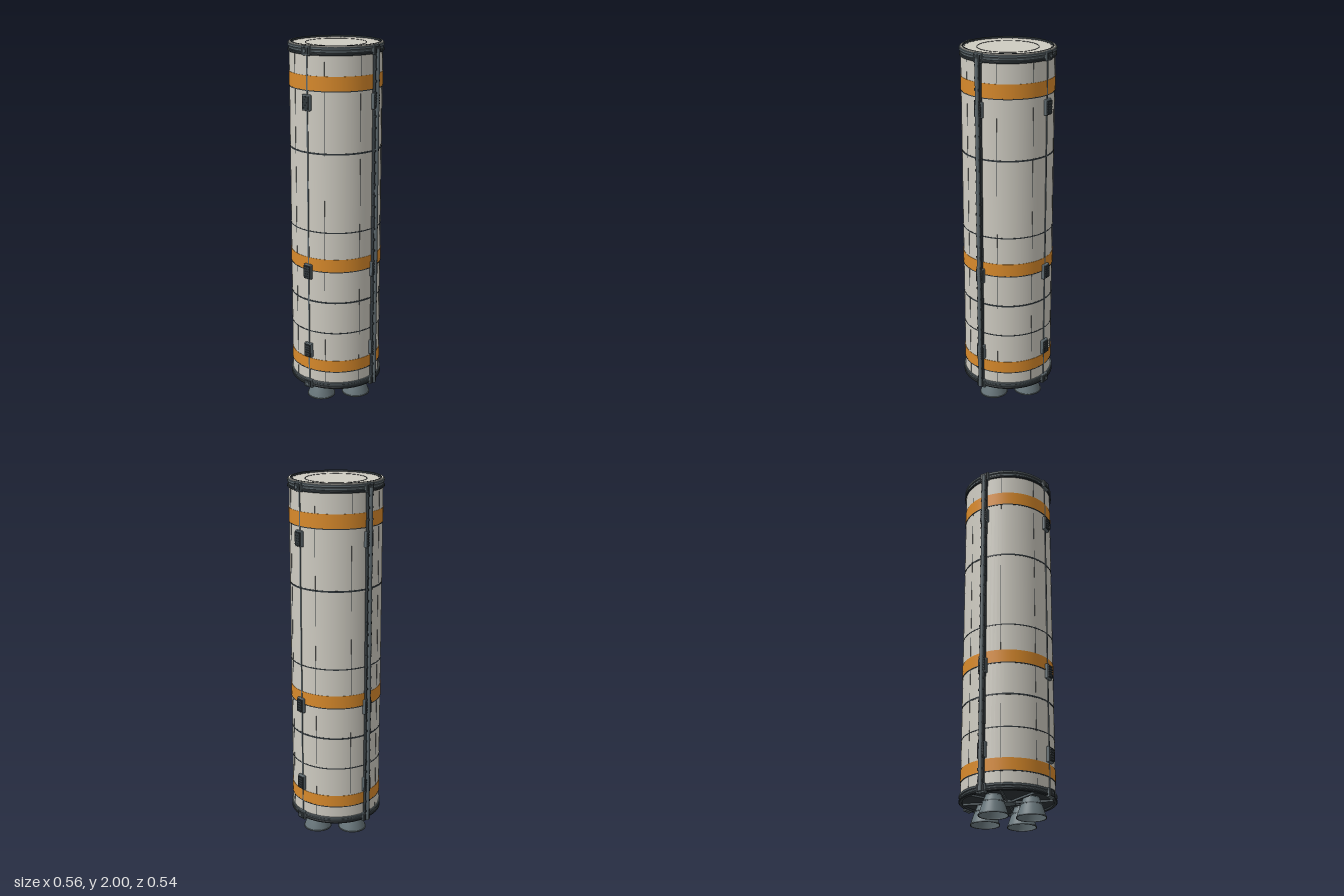
import * as THREE from 'three';
import { RoundedBoxGeometry } from 'three/addons/geometries/RoundedBoxGeometry.js';

const mat = (color, side = THREE.FrontSide) => new THREE.MeshStandardMaterial({ color, side });
const HULL = mat(0xcfccc2), ORANGE = mat(0xd98a2b), DARK = mat(0x30373b);
const STEEL = mat(0x5d686d), BELL = mat(0x67757a, THREE.DoubleSide);
const R = 0.248;

function add(parent, name, geometry, material, x = 0, y = 0, z = 0) {
  const mesh = new THREE.Mesh(geometry, material);
  mesh.name = name;
  mesh.position.set(x, y, z);
  parent.add(mesh);
  return mesh;
}

function group(parent, name, angle = 0) {
  const g = new THREE.Group();
  g.name = name;
  g.rotation.y = angle;
  parent.add(g);
  return g;
}

// Ring with a bevelled rectangular section
function ringGeometry(inner, outer, y0, y1, bevel = 0) {
  const points = [[inner, y0], [outer - bevel, y0], [outer, y0 + bevel],
    [outer, y1 - bevel], [outer - bevel, y1], [inner, y1], [inner, y0]];
  // Doubled points keep the section's edges sharp
  const profile = points.flatMap(([r, y]) => [new THREE.Vector2(r, y), new THREE.Vector2(r, y)]);
  return new THREE.LatheGeometry(profile, 72);
}

// Ribbed equipment box on the hull, facing +z
function addBox(parent, y) {
  const g = group(parent, 'equipmentBox');
  g.position.set(0, y, 0);
  add(g, 'boxBase', new RoundedBoxGeometry(0.05, 0.085, 0.022, 2, 0.005), STEEL, 0, 0, 0.252);
  add(g, 'boxCover', new THREE.BoxGeometry(0.04, 0.07, 0.01), DARK, 0, 0, 0.263);
  for (let i = -2; i <= 2; i++)
    add(g, 'boxRib', new THREE.BoxGeometry(0.036, 0.006, 0.004), DARK, 0, i * 0.014, 0.2685);
}

// Clamp holding an end ring, facing +z
function addClamp(parent, y) {
  const g = group(parent, 'ringClamp');
  g.position.set(0, y, 0);
  add(g, 'clampBody', new RoundedBoxGeometry(0.055, 0.05, 0.022, 2, 0.004), STEEL, 0, 0, 0.252);
  add(g, 'clampLatch', new THREE.BoxGeometry(0.04, 0.034, 0.008), DARK, 0, 0, 0.264);
  add(g, 'clampBolt', new THREE.CylinderGeometry(0.008, 0.008, 0.005, 12).rotateX(Math.PI / 2), STEEL, 0, 0, 0.269);
}

// Cable duct running the full height, facing +z
function addDuct(parent) {
  const g = group(parent, 'cableDuct');
  add(g, 'ductChannel', new THREE.BoxGeometry(0.03, 1.87, 0.018), DARK, 0, 1.035, 0.256);
  add(g, 'ductPipe', new THREE.CylinderGeometry(0.011, 0.011, 1.88, 16), STEEL, 0, 1.035, 0.267);
  for (let i = 0; i < 30; i++)
    add(g, 'ductClip', new THREE.BoxGeometry(0.032, 0.012, 0.014), DARK, 0, 0.15 + i * 0.0615, 0.263);
}

export function createModel() {
  const model = new THREE.Group();
  model.name = 'rocketBooster';

  // Hull, colour bands and joints
  const hull = group(model, 'hull');
  add(hull, 'tank', new THREE.CylinderGeometry(R, R, 1.87, 72, 1, true), HULL, 0, 1.05);
  for (const [y0, y1] of [[0.2, 0.265], [0.79, 0.86], [1.77, 1.845]]) {
    add(hull, 'colourBand', ringGeometry(R - 0.004, R + 0.002, y0, y1), ORANGE);
    add(hull, 'bandEdge', ringGeometry(R - 0.004, R + 0.0025, y0 - 0.005, y0), DARK);
  }
  for (const [y, h] of [[0.43, 0.006], [0.61, 0.009], [1.01, 0.006], [1.44, 0.009]])
    add(hull, 'jointLine', ringGeometry(R - 0.004, R + 0.001, y - h / 2, y + h / 2), DARK);
  for (let i = 0; i < 8; i++) {
    const seam = group(hull, 'panelSeam', (i + 0.5) * Math.PI / 4);
    add(seam, 'seamLine', new THREE.BoxGeometry(0.0015, 1.83, 0.002), DARK, 0, 1.045, R);
  }

  // End rings
  const rings = group(model, 'endRings');
  for (const [y0, y1, r, m] of [
    [1.95, 1.963, 0.256, DARK], [1.963, 1.978, 0.251, STEEL], [1.978, 1.994, 0.256, STEEL],
    [0.096, 0.108, 0.256, DARK], [0.108, 0.12, 0.251, STEEL], [0.12, 0.134, 0.256, STEEL]])
    add(rings, 'flange', ringGeometry(0.238, r, y0, y1, 0.003), m);
  add(rings, 'topRim', ringGeometry(0.235, 0.241, 1.97, 2.0, 0.001), DARK);
  add(rings, 'topLip', ringGeometry(0.241, 0.25, 1.98, 1.998, 0.002), HULL);

  // Top cover with inner seam and bolts
  const cover = group(model, 'topCover');
  add(cover, 'coverPlate', new THREE.CylinderGeometry(0.238, 0.238, 0.03, 72), HULL, 0, 1.975);
  add(cover, 'coverSeam', ringGeometry(0.161, 0.164, 1.985, 1.9915), DARK);
  for (let i = 0; i < 24; i++) {
    const a = i * Math.PI / 12;
    add(cover, 'coverBolt', new THREE.CylinderGeometry(0.003, 0.003, 0.004, 8), STEEL,
      0.229 * Math.sin(a), 1.991, 0.229 * Math.cos(a));
  }

  // Base plate with radial ribs
  const base = group(model, 'base');
  add(base, 'basePlate', new THREE.CylinderGeometry(0.242, 0.242, 0.012, 72), DARK, 0, 0.112);
  add(base, 'baseHub', new THREE.CylinderGeometry(0.04, 0.04, 0.016, 24), STEEL, 0, 0.101);
  for (let i = 0; i < 8; i++) {
    const rib = group(base, 'baseRib', (i + 0.5) * Math.PI / 4);
    add(rib, 'ribBar', new THREE.BoxGeometry(0.008, 0.012, 0.2), STEEL, 0, 0.102, 0.138);
  }

  // Four engine bells in a cross
  const bellProfile = [[0.042, 0.108], [0.045, 0.095], [0.055, 0.07], [0.065, 0.042],
    [0.073, 0.016], [0.077, 0]].map(([r, y]) => new THREE.Vector2(r, y));
  const bellGeometry = new THREE.LatheGeometry(bellProfile.reverse(), 40);
  for (let i = 0; i < 4; i++) {
    const engine = group(model, 'engine', i * Math.PI / 2);
    add(engine, 'engineBell', bellGeometry, BELL, 0, 0, 0.14);
    add(engine, 'bellRim', ringGeometry(0.074, 0.079, 0, 0.006), STEEL, 0, 0, 0.14);
    add(engine, 'bellBand', ringGeometry(0.05, 0.058, 0.066, 0.072), STEEL, 0, 0, 0.14);
    add(engine, 'bellThroat', new THREE.CylinderGeometry(0.044, 0.044, 0.006, 32), DARK, 0, 0.098, 0.14);
  }

  // Equipment on the four sides: ducts left and right, thin seams front and back
  for (let i = 0; i < 4; i++) {
    const side = group(model, 'sideEquipment', i * Math.PI / 2);
    for (const y of [0.315, 0.78, 1.705]) addBox(side, y);
    for (const y of [0.112, 1.972]) addClamp(side, y);
    if (i % 2) addDuct(side);
    else add(side, 'conduit', new THREE.BoxGeometry(0.008, 1.84, 0.005), STEEL, 0, 1.045, R + 0.001);
  }
  return model;
}
